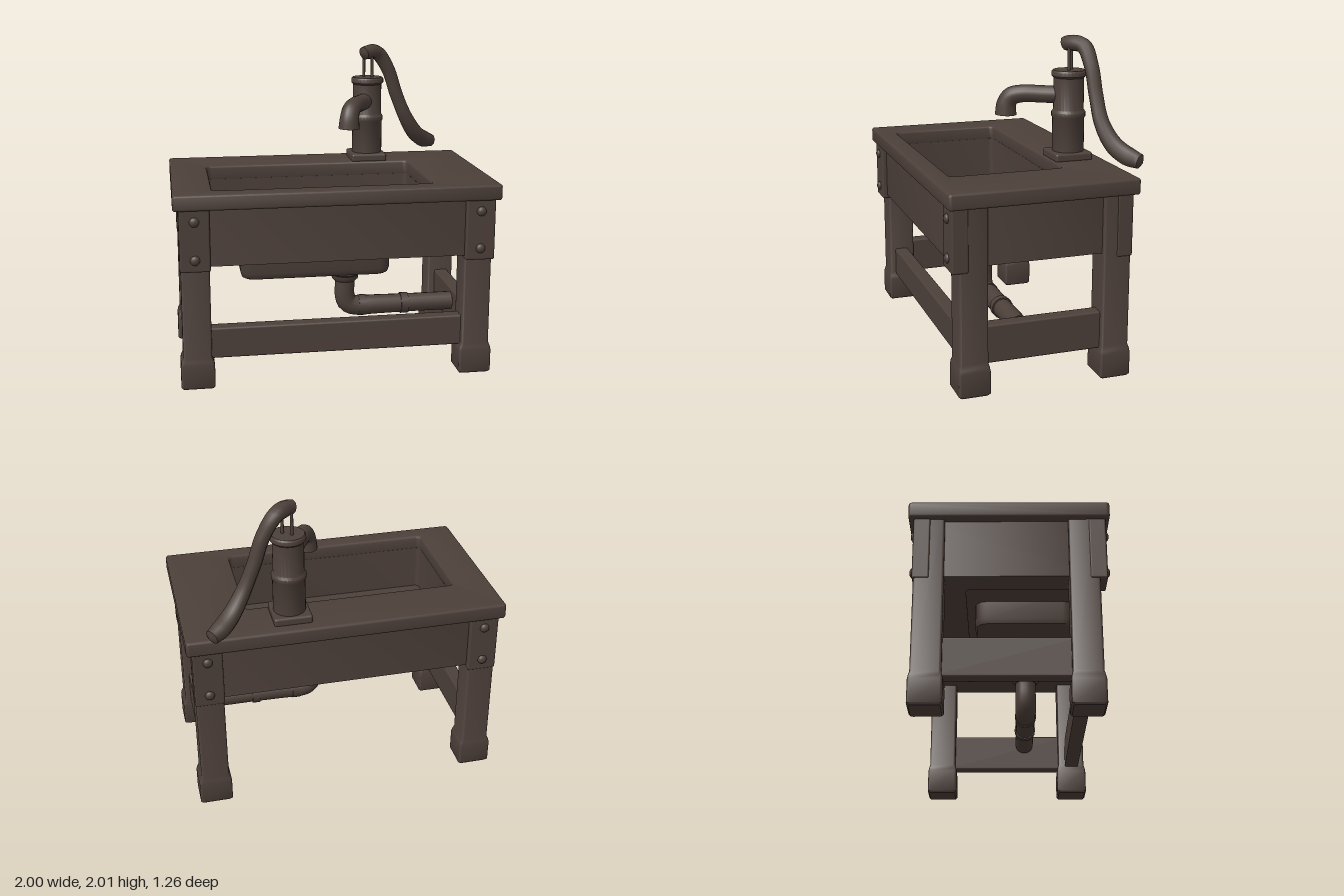
import * as THREE from 'three';
import { mergeVertices, toCreasedNormals } from 'three/addons/utils/BufferGeometryUtils.js';
import { RoundedBoxGeometry } from 'three/addons/geometries/RoundedBoxGeometry.js';

const darkBrown = new THREE.MeshStandardMaterial({ color: 0x4d403a });
darkBrown.name = 'darkBrown';

function add(parent, name, geometry, x = 0, y = 0, z = 0) {
  const mesh = new THREE.Mesh(geometry, darkBrown);
  mesh.name = name;
  mesh.position.set(x, y, z);
  parent.add(mesh);
  return mesh;
}

// Rounded box given by its limits
function block(parent, name, x0, x1, y0, y1, z0, z1, r = 0.012) {
  return add(parent, name, new RoundedBoxGeometry(x1 - x0, y1 - y0, z1 - z0, 2, r),
    (x0 + x1) / 2, (y0 + y1) / 2, (z0 + z1) / 2);
}

// Rounded rectangle outline, walked from +x towards +z
function outline(x0, x1, z0, z1, r) {
  const pts = [];
  const corners = [[x1 - r, z1 - r], [x0 + r, z1 - r], [x0 + r, z0 + r], [x1 - r, z0 + r]];
  corners.forEach(([cx, cz], k) => {
    for (let i = 0; i <= 4; i++) {
      const a = (k + i / 4) * Math.PI / 2;
      pts.push(new THREE.Vector2(cx + r * Math.cos(a), cz + r * Math.sin(a)));
    }
  });
  return pts;
}

// Horizontal slab with a rectangular opening
function slab(parent, name, outer, hole, y0, y1, bevel) {
  const shape = new THREE.Shape(outline(...outer));
  shape.holes.push(new THREE.Path(outline(...hole)));
  const geo = new THREE.ExtrudeGeometry(shape, {
    depth: y1 - y0 - 2 * bevel, bevelEnabled: bevel > 0, bevelSize: bevel,
    bevelThickness: bevel, bevelOffset: -bevel, bevelSegments: 3,
  });
  geo.rotateX(Math.PI / 2);
  return add(parent, name, toCreasedNormals(geo, 0.7), 0, y1 - bevel, 0);
}

// Solid through rounded rectangles [y, x0, x1, z0, z1, r]
function loft(parent, name, rings) {
  const pos = [], idx = [], n = 20;
  rings.forEach(([y, ...rect]) => outline(...rect).forEach(p => pos.push(p.x, y, p.y)));
  for (let i = 0; i < rings.length - 1; i++) {
    for (let j = 0; j < n; j++) {
      const a = i * n + j, b = i * n + (j + 1) % n;
      idx.push(a, a + n, b, b, a + n, b + n);
    }
  }
  [rings[0], rings[rings.length - 1]].forEach(([y, x0, x1, z0, z1], end) => {
    const c = pos.length / 3, base = end ? (rings.length - 1) * n : 0;
    pos.push((x0 + x1) / 2, y, (z0 + z1) / 2);
    for (let j = 0; j < n; j++) {
      const a = base + j, b = base + (j + 1) % n;
      end ? idx.push(c, b, a) : idx.push(c, a, b);
    }
  });
  const geo = new THREE.BufferGeometry();
  geo.setAttribute('position', new THREE.Float32BufferAttribute(pos, 3));
  geo.setIndex(idx);
  return add(parent, name, toCreasedNormals(geo, 0.7));
}

// Tube along points with evenly spaced radii, closed at both ends
function sweep(parent, name, points, radii, sides = 16) {
  const n = 48;
  const curve = new THREE.CatmullRomCurve3(points.map(p => new THREE.Vector3(...p)));
  const geo = new THREE.TubeGeometry(curve, n, 1, sides);
  const p = geo.attributes.position, v = new THREE.Vector3();
  for (let i = 0; i <= n; i++) {
    const c = curve.getPointAt(i / n);
    const t = i / n * (radii.length - 1), k = Math.min(Math.floor(t), radii.length - 2);
    const r = i % n === 0 ? 0 : THREE.MathUtils.lerp(radii[k], radii[k + 1], t - k);
    for (let j = 0; j <= sides; j++) {
      const q = i * (sides + 1) + j;
      v.fromBufferAttribute(p, q).sub(c).multiplyScalar(r).add(c);
      p.setXYZ(q, v.x, v.y, v.z);
    }
  }
  geo.deleteAttribute('uv');
  geo.deleteAttribute('normal');
  return add(parent, name, toCreasedNormals(mergeVertices(geo, 1e-5), 0.8));
}

function lathe(parent, name, profile, x, z) {
  const geo = new THREE.LatheGeometry(profile.map(p => new THREE.Vector2(...p)), 28);
  return add(parent, name, toCreasedNormals(geo, 0.7), x, 0, z);
}

export function createModel() {
  const model = new THREE.Group();
  model.name = 'pumpSink';

  // Counter, apron and basin
  const opening = [-0.76, 0.59, -0.21, 0.5, 0.03];
  slab(model, 'countertop', [-1, 1, -0.54, 0.625, 0.02], opening, 1.14, 1.237, 0.014);
  slab(model, 'apron', [-0.935, 0.935, -0.475, 0.57, 0.01], opening, 0.785, 1.15, 0);
  slab(model, 'basinLedge', [-0.8, 0.63, -0.25, 0.54, 0.03],
    [-0.57, 0.34, -0.14, 0.41, 0.05], 0.79, 0.85, 0);
  loft(model, 'basinBowl', [
    [0.64, -0.565, 0.325, -0.13, 0.41, 0.06],
    [0.65, -0.582, 0.342, -0.15, 0.425, 0.07],
    [0.68, -0.59, 0.35, -0.16, 0.435, 0.07],
    [0.845, -0.59, 0.35, -0.16, 0.435, 0.07],
    [0.845, -0.56, 0.33, -0.13, 0.405, 0.05],
    [0.72, -0.54, 0.31, -0.115, 0.385, 0.05],
    [0.69, -0.51, 0.28, -0.09, 0.36, 0.05],
  ]);
  add(model, 'drainPlug', new THREE.CylinderGeometry(0.09, 0.09, 0.008, 28), 0.105, 0.693, 0.15);

  // Legs with feet, corner plates and bolts
  for (const sx of [-1, 1]) {
    for (const [cz, out, face] of [[0.472, 1, 0.602], [-0.415, -1, -0.51]]) {
      const cx = sx * 0.875;
      const ring = (y, w, d) => [y, cx - w, cx + w, cz - d, cz + d, 0.014];
      loft(model, 'leg', [
        ring(0, 0.095, 0.087), ring(0.012, 0.104, 0.097), ring(0.15, 0.104, 0.097),
        ring(0.175, 0.099, 0.093), ring(0.2, 0.088, 0.087), ring(1.15, 0.087, 0.087),
      ]);
      block(model, 'cornerPlate', cx - 0.092, cx + 0.092, 0.76, 1.15,
        Math.min(face, face - out * 0.1), Math.max(face, face - out * 0.1));
      for (const y of [0.835, 1.07]) {
        const bolt = add(model, 'bolt', new THREE.SphereGeometry(0.03, 14, 10), cx, y, face);
        bolt.scale.z = 0.7;
      }
    }
    // Side stretcher
    const x = sx * 0.88;
    block(model, 'sideStretcher', x - 0.045, x + 0.045, 0.18, 0.415, -0.36, 0.42);
  }
  block(model, 'frontStretcher', -0.82, 0.82, 0.18, 0.375, 0.43, 0.52);

  // Drain and waste pipe
  lathe(model, 'drainCollar', [[0, 0.53], [0.07, 0.53], [0.085, 0.545], [0.088, 0.57],
    [0.1, 0.58], [0.102, 0.65], [0, 0.65]], 0.105, 0.15);
  sweep(model, 'wastePipe', [[0.105, 0.62, 0.15], [0.105, 0.52, 0.15], [0.105, 0.42, 0.15],
    [0.125, 0.37, 0.15], [0.18, 0.35, 0.15], [0.3, 0.35, 0.15], [0.5, 0.35, 0.15],
    [0.84, 0.35, 0.15]], [0.065, 0.065, 0.06, 0.06]);
  for (const x of [0.22, 0.5]) {
    const collar = add(model, 'pipeCollar', new THREE.CylinderGeometry(0.068, 0.068, 0.05, 20), x, 0.35, 0.15);
    collar.rotation.z = Math.PI / 2;
  }

  // Hand pump
  const pump = new THREE.Group();
  pump.name = 'handPump';
  model.add(pump);
  const px = 0.34, pz = -0.345;
  block(pump, 'pumpBase', px - 0.122, px + 0.115, 1.23, 1.285, pz - 0.122, pz + 0.122, 0.015);
  lathe(pump, 'pumpBody', [[0, 1.24], [0.1, 1.24], [0.1, 1.495], [0.107, 1.505], [0.107, 1.53],
    [0.095, 1.545], [0.095, 1.745], [0.108, 1.757], [0.108, 1.782], [0.1, 1.792], [0, 1.792]], px, pz);
  sweep(pump, 'spout', [[0.34, 1.635, -0.345], [0.27, 1.635, -0.21], [0.205, 1.635, -0.085],
    [0.172, 1.615, -0.025], [0.158, 1.57, 0], [0.154, 1.49, 0.005]],
  [0.055, 0.055, 0.055, 0.056, 0.06, 0.07]);
  for (const s of [-1, 1]) {
    add(pump, 'pumpRod', new THREE.CylinderGeometry(0.01, 0.01, 0.2, 10),
      px + 0.005 + s * 0.025, 1.87, pz - 0.005 + s * 0.018);
  }

  // Curved handle with a thick grip
  sweep(pump, 'handle', [[0.295, 1.945, -0.315], [0.34, 1.957, -0.345], [0.42, 1.945, -0.405],
    [0.5, 1.83, -0.425], [0.56, 1.66, -0.433], [0.63, 1.5, -0.445], [0.71, 1.38, -0.49],
    [0.78, 1.325, -0.545], [0.865, 1.295, -0.61]],
  [0.042, 0.05, 0.048, 0.045, 0.044, 0.044, 0.044, 0.047, 0.052, 0.057, 0.058, 0.042], 10);

  return model;
}
